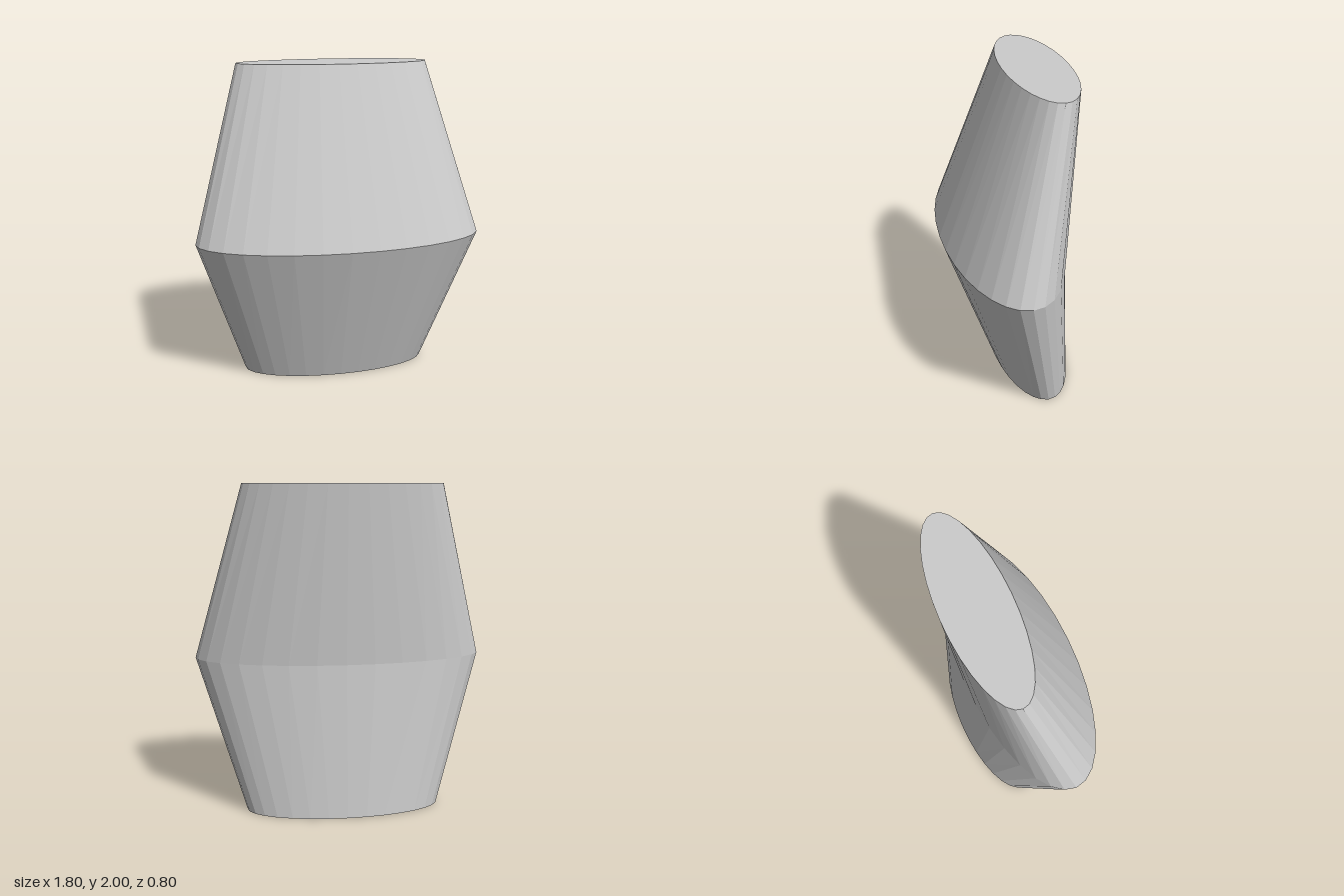
import * as THREE from 'three';

// Elliptical cross-sections from bottom to top: height, half width, half depth, z centre
const SECTIONS = [
  { y: 0, rx: 0.6, rz: 0.233, z: -0.165 },
  { y: 0.935, rx: 0.9, rz: 0.363, z: 0.035 },
  { y: 2, rx: 0.6, rz: 0.2, z: -0.2 },
];

export function createModel() {
  const group = new THREE.Group();
  group.name = 'torsoModel';

  // Capped cylinder with one ring per section, reshaped into the leaning ellipses
  const geometry = new THREE.CylinderGeometry(1, 1, 2, 32, 2);
  const pos = geometry.attributes.position;
  for (let i = 0; i < pos.count; i++) {
    const s = SECTIONS[Math.round(pos.getY(i)) + 1];
    pos.setXYZ(i, pos.getX(i) * s.rx, s.y, pos.getZ(i) * s.rz + s.z);
  }
  geometry.computeVertexNormals();

  const material = new THREE.MeshStandardMaterial({ color: 0xcccccc, flatShading: true });
  const torso = new THREE.Mesh(geometry, material);
  torso.name = 'torso';
  group.add(torso);
  return group;
}
